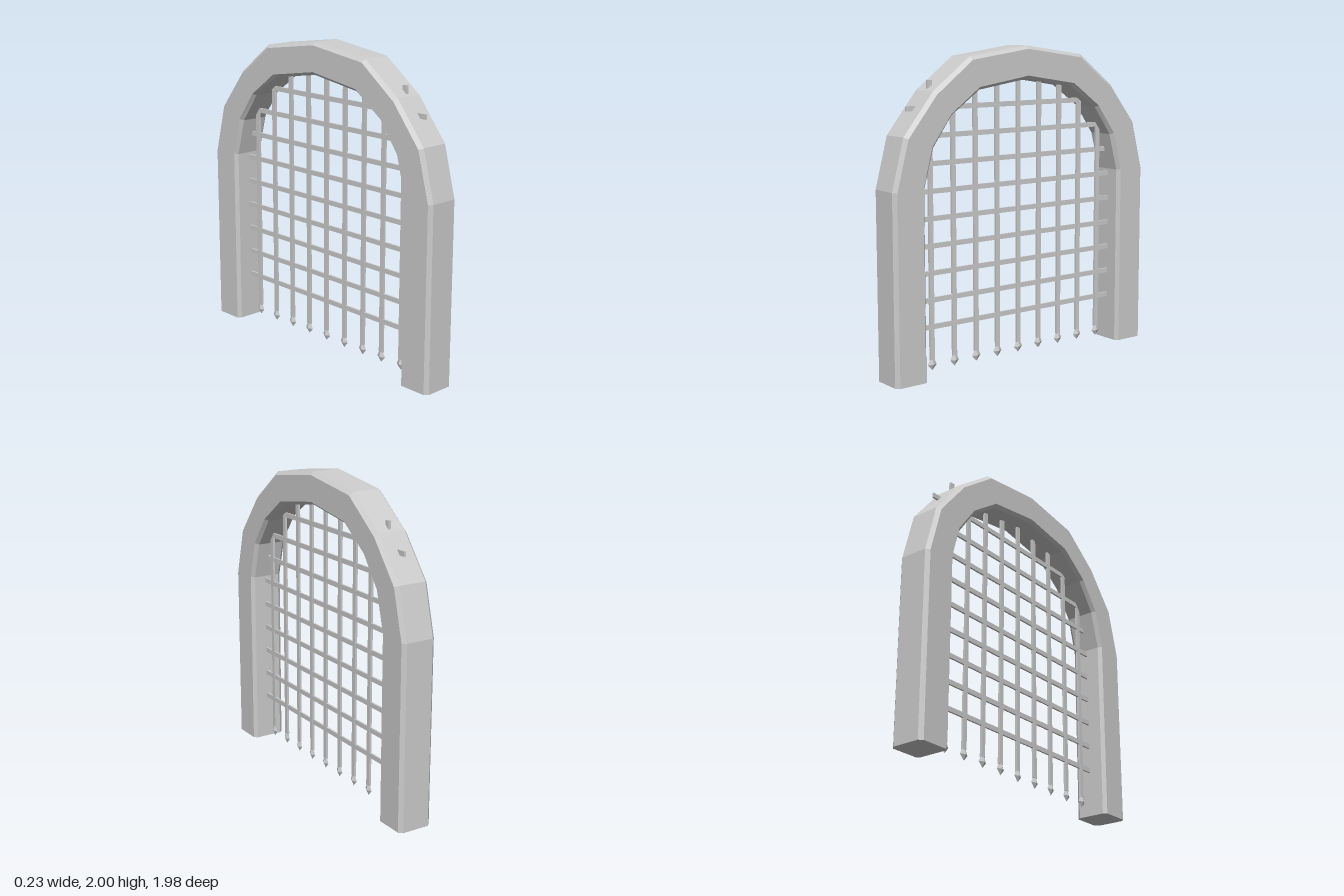
import * as THREE from 'three';

const mat = new THREE.MeshStandardMaterial({ color: 0xcccccc, flatShading: true, side: THREE.DoubleSide });

// Half-profiles of the arch as [z, y], from the foot up to the crown
const OUTER = [[0.988, 0], [0.988, 1.168], [0.905, 1.484], [0.697, 1.742], [0.432, 1.941], [0, 2]];
const OUTER_FACE = [[0.966, 0], [0.966, 1.165], [0.884, 1.474], [0.684, 1.722], [0.423, 1.92], [0, 1.979]];
const INNER_FACE = [[0.784, 0], [0.784, 1.175], [0.719, 1.42], [0.582, 1.606], [0.372, 1.757], [0, 1.815]];
const INNER = [[0.766, 0], [0.766, 1.17], [0.7, 1.411], [0.568, 1.596], [0.362, 1.74], [0, 1.795]];

// Mirror a half-profile over the crown
const mirrored = (p) => [...p, ...p.slice(0, -1).reverse().map(([z, y]) => [-z, y])];

// Sweep of a chamfered rectangular section along the arch
function archGeometry() {
  const rails = [
    [OUTER, 0.09], [OUTER_FACE, 0.113], [INNER_FACE, 0.113], [INNER, 0.09],
    [INNER, -0.09], [INNER_FACE, -0.113], [OUTER_FACE, -0.113], [OUTER, -0.09],
  ].map(([p, x]) => mirrored(p).map(([z, y]) => [x, y, z]));
  const n = rails.length, rings = rails[0].length;
  const pos = [];
  const tri = (a, b, c) => pos.push(...a, ...b, ...c);
  for (let i = 0; i < rings - 1; i++) {
    for (let j = 0; j < n; j++) {
      const k = (j + 1) % n;
      const a = rails[j][i], b = rails[k][i], c = rails[k][i + 1], d = rails[j][i + 1];
      tri(a, b, c);
      tri(a, c, d);
    }
  }
  // undersides of both feet
  for (let j = 1; j < n - 1; j++) {
    tri(rails[0][0], rails[j + 1][0], rails[j][0]);
    tri(rails[0][rings - 1], rails[j][rings - 1], rails[j + 1][rings - 1]);
  }
  const g = new THREE.BufferGeometry();
  g.setAttribute('position', new THREE.Float32BufferAttribute(pos, 3));
  g.computeVertexNormals();
  return g;
}

// Four-sided spike: flares out from the bar, then narrows to a point
function spikeGeometry() {
  const profile = [[0, 0.033], [0.033, 0.07], [0.015, 0.106]].map(([r, y]) => new THREE.Vector2(r, y));
  return new THREE.LatheGeometry(profile, 4).scale(0.5, 1, 1);
}

export function createModel() {
  const group = new THREE.Group();
  const add = (parent, name, geometry, x = 0, y = 0, z = 0) => {
    const mesh = new THREE.Mesh(geometry, mat);
    mesh.name = name;
    mesh.position.set(x, y, z);
    parent.add(mesh);
  };

  add(group, 'stoneArch', archGeometry());

  const gate = new THREE.Group();
  gate.name = 'portcullis';
  gate.position.x = 0.005;
  group.add(gate);

  const step = 1 / 6;
  const barGeo = new THREE.BoxGeometry(0.015, 1.705, 0.031);
  const railGeo = new THREE.BoxGeometry(0.012, 0.031, 1.668);
  const spikeGeo = spikeGeometry();
  for (let i = 0; i < 9; i++) {
    const z = (i - 4) * step;
    add(gate, 'verticalBar', barGeo, 0, 0.9525, z);
    add(gate, 'spike', spikeGeo, 0, 0, z);
    add(gate, 'crossBar', railGeo, 0, 0.307 + i * step, 0);
  }
  return group;
}
